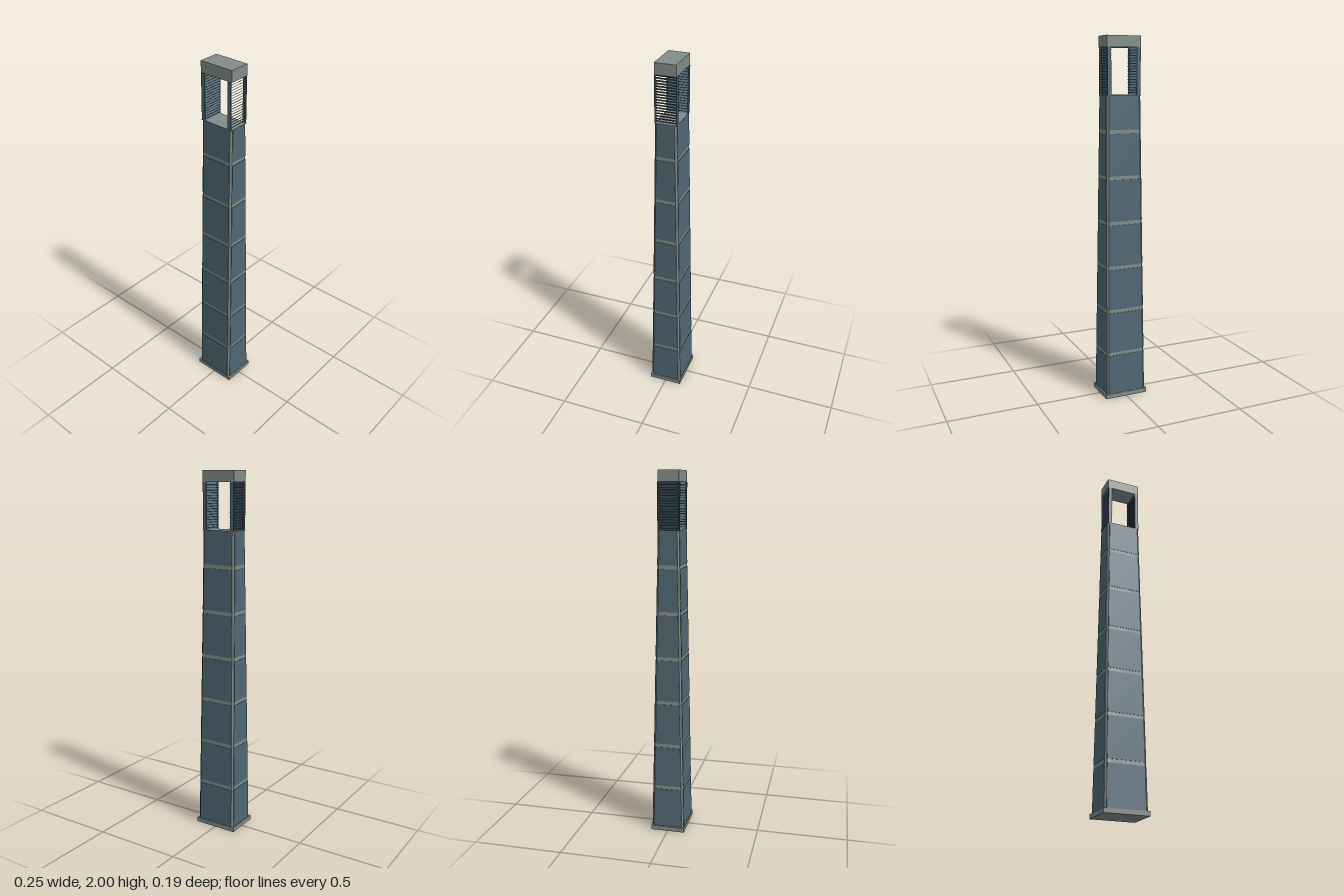
import * as THREE from 'three';

const BASE_TOP = 0.025, BODY_TOP = 1.69, CAP_BOTTOM = 1.94;

// half sizes of the tapering core at a height
const taper = (y) => {
  const t = (y - BASE_TOP) / (BODY_TOP - BASE_TOP);
  return [THREE.MathUtils.lerp(0.116, 0.097, t), THREE.MathUtils.lerp(0.09, 0.057, t)];
};

// chamfered outline, counter-clockwise seen from above
const octagon = (y, c) => {
  const [x, z] = taper(y);
  return [[x, z - c], [x, c - z], [x - c, -z], [c - x, -z], [-x, c - z], [-x, z - c], [c - x, z], [x - c, z]]
    .map(([px, pz]) => [px, y, pz]);
};

// closed solid between two matching rings
function loft(bottom, top) {
  const n = bottom.length, pos = [];
  const tri = (a, b, c) => pos.push(...a, ...b, ...c);
  for (let i = 0; i < n; i++) {
    const j = (i + 1) % n;
    tri(bottom[i], bottom[j], top[j]);
    tri(bottom[i], top[j], top[i]);
    if (i > 0 && i < n - 1) {
      tri(top[0], top[i], top[i + 1]);
      tri(bottom[0], bottom[i + 1], bottom[i]);
    }
  }
  const g = new THREE.BufferGeometry();
  g.setAttribute('position', new THREE.Float32BufferAttribute(pos, 3));
  g.computeVertexNormals();
  return g;
}

export function createModel() {
  const model = new THREE.Group();
  model.name = 'tower';
  const stone = new THREE.MeshStandardMaterial({ color: 0x828c89 });
  stone.name = 'grey trim';
  const cladding = new THREE.MeshStandardMaterial({ color: 0x506774 });
  cladding.name = 'slate blue cladding';

  const add = (name, geometry, material, parent = model) => {
    const mesh = new THREE.Mesh(geometry, material);
    mesh.name = name;
    parent.add(mesh);
    return mesh;
  };
  const box = (name, w, h, d, x, y, z, material, parent) =>
    add(name, new THREE.BoxGeometry(w, h, d), material, parent).position.set(x, y, z);

  // plinth, grey core with chamfered corners, and roof block
  box('base', 0.25, BASE_TOP, 0.19, 0, BASE_TOP / 2, 0, stone);
  add('core', loft(octagon(BASE_TOP, 0.009), octagon(BODY_TOP, 0.009)), stone);
  box('cap', 0.196, 2 - CAP_BOTTOM, 0.114, 0, (2 + CAP_BOTTOM) / 2, 0, stone);

  // blue panels between the grey bands, slightly proud of the core
  const panels = new THREE.Group();
  panels.name = 'panels';
  model.add(panels);
  const bands = [0.26, 0.508, 0.756, 1.004, 1.252, 1.5];
  const starts = [BASE_TOP, ...bands.map((y) => y + 0.01)];
  const ends = [...bands.map((y) => y - 0.01), BODY_TOP];
  const proud = 0.002, inset = 0.01;
  const ring = (y, alongX) => {
    let [x, z] = taper(y);
    if (alongX) { x += proud; z -= inset; } else { x -= inset; z += proud; }
    return [[x, y, z], [x, y, -z], [-x, y, -z], [-x, y, z]];
  };
  starts.forEach((y0, i) => {
    add('sidePanels', loft(ring(y0, true), ring(ends[i], true)), cladding, panels);
    add('frontBackPanels', loft(ring(y0, false), ring(ends[i], false)), cladding, panels);
  });
  // grey floor of the open chamber
  box('chamberFloor', 0.196, 0.003, 0.116, 0, BODY_TOP + 0.0005, 0, stone);

  // open chamber: corner plates and sloping slats on both sides
  const h = CAP_BOTTOM - BODY_TOP, midY = (CAP_BOTTOM + BODY_TOP) / 2, count = 18;
  for (const s of [-1, 1]) {
    const louvre = new THREE.Group();
    louvre.name = s > 0 ? 'leftLouvre' : 'rightLouvre';
    model.add(louvre);
    for (const t of [-1, 1])
      box('cornerPlate', 0.021, h, 0.004, s * 0.085, midY, t * 0.057, cladding, louvre);
    for (let i = 0; i < count; i++) {
      const slat = add('slat', new THREE.BoxGeometry(0.028, 0.002, 0.111), cladding, louvre);
      slat.position.set(s * 0.082, BODY_TOP + (i + 0.5) * h / count, 0);
      slat.rotation.z = s * 0.6;
    }
  }
  return model;
}
